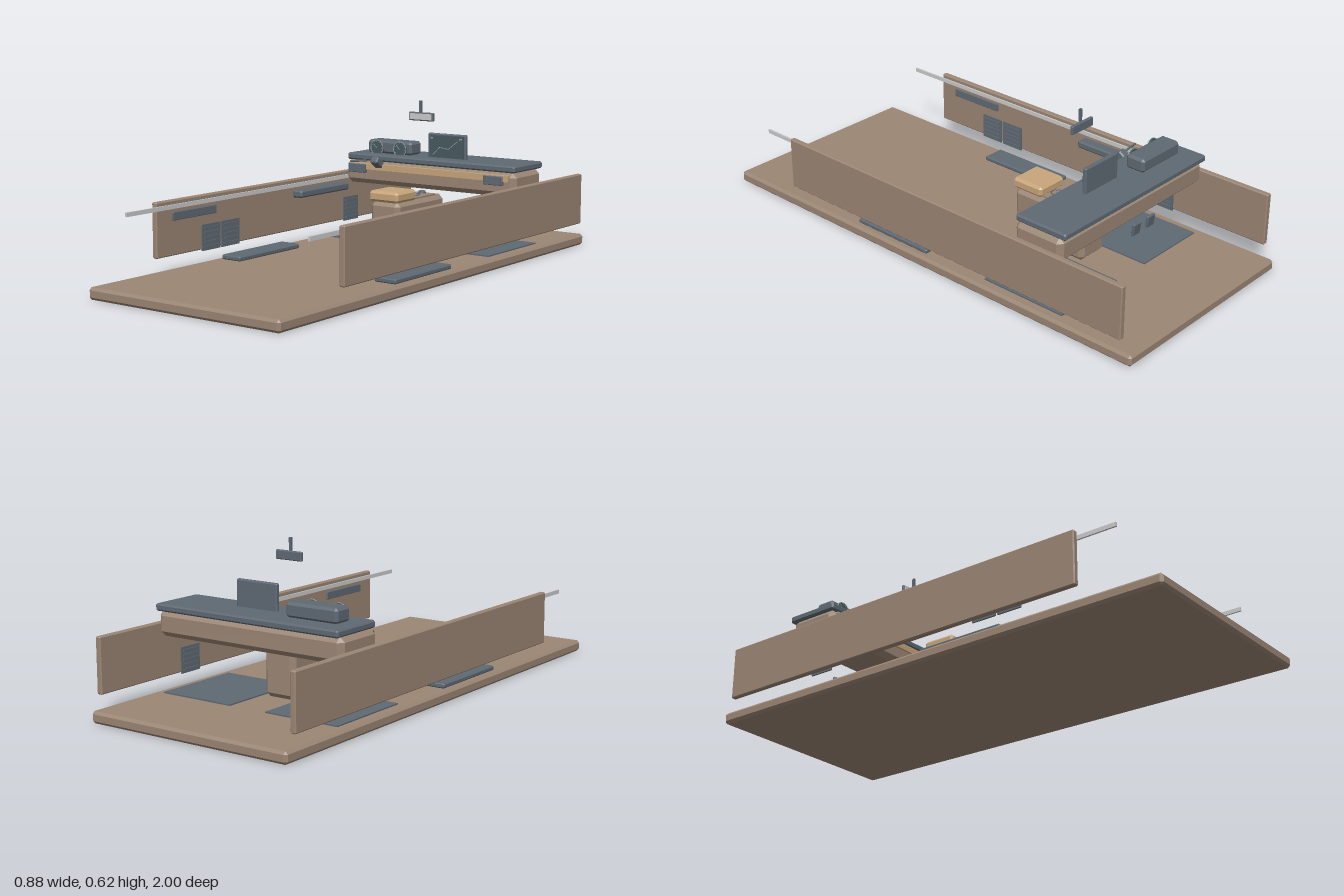
import * as THREE from 'three';
import { ConvexGeometry } from 'three/addons/geometries/ConvexGeometry.js';

const mat = (color) => new THREE.MeshStandardMaterial({ color, flatShading: true });
const brown = mat(0x9b8674), tan = mat(0xc8a57a), slate = mat(0x5f6973);
const dark = mat(0x465a60), pale = mat(0xcccccc), line = mat(0x8fa39a);

// Box from min/max corners; c > 0 cuts a chamfer along every edge
function boxGeometry(w, h, d, c) {
  if (!c) return new THREE.BoxGeometry(w, h, d);
  const points = [];
  for (const x of [-1, 1]) for (const y of [-1, 1]) for (const z of [-1, 1]) {
    for (let axis = 0; axis < 3; axis++) {
      points.push(new THREE.Vector3(
        x * (w / 2 - (axis === 0 ? 0 : c)),
        y * (h / 2 - (axis === 1 ? 0 : c)),
        z * (d / 2 - (axis === 2 ? 0 : c))));
    }
  }
  return new ConvexGeometry(points);
}

export function createModel() {
  const root = new THREE.Group();
  root.name = 'vehicleInterior';

  function add(parent, name, geometry, material, x, y, z) {
    const mesh = new THREE.Mesh(geometry, material);
    mesh.name = name;
    mesh.position.set(x, y, z);
    parent.add(mesh);
    return mesh;
  }
  const block = (parent, name, material, [x0, x1], [y0, y1], [z0, z1], c = 0) =>
    add(parent, name, boxGeometry(x1 - x0, y1 - y0, z1 - z0, c), material,
      (x0 + x1) / 2, (y0 + y1) / 2, (z0 + z1) / 2);
  const group = (name) => {
    const g = new THREE.Group();
    g.name = name;
    root.add(g);
    return g;
  };

  block(root, 'floor', brown, [-0.43, 0.43], [0, 0.045], [-1, 1], 0.01);

  // Door panels with their fittings, mirrored left and right
  for (const s of [-1, 1]) {
    const door = group(s > 0 ? 'leftDoor' : 'rightDoor');
    const side = (name, material, [a, b], y, z, c) =>
      block(door, name, material, s > 0 ? [a, b] : [-b, -a], y, z, c);
    side('doorPanel', brown, [0.415, 0.438], [0.095, 0.302], [-0.96, 0.67], 0.004);
    side('doorRail', pale, [0.409, 0.416], [0.27, 0.286], [-0.6, 0.825]);
    side('doorArmrest', slate, [0.367, 0.415], [0.23, 0.26], [-0.43, -0.11], 0.006);
    side('rearDoorGrip', slate, [0.408, 0.416], [0.226, 0.258], [0.35, 0.59], 0.002);
    for (const [y, z, size] of [[0.14, 0.38, 0.1], [0.14, 0.27, 0.1], [0.14, -0.5, 0.1]]) {
      side('doorGrille', slate, [0.41, 0.416], [y - 0.05, y + 0.05], [z - size / 2, z + size / 2]);
      for (let i = -2; i <= 2; i++) {
        side('grilleSlat', slate, [0.406, 0.411], [y + i * 0.018 - 0.004, y + i * 0.018 + 0.004],
          [z - size * 0.42, z + size * 0.42]);
      }
    }
    side('sillPad', slate, [0.313, 0.405], [0.045, 0.063], [-0.03, 0.33], 0.004);
    side('footMat', slate, [0.08, 0.39], [0.045, 0.05], [-0.67, -0.31]);
  }

  // Dashboard body, top pad, trim and air vents
  const dash = group('dashboard');
  block(dash, 'dashBody', brown, [-0.41, 0.41], [0.256, 0.353], [-0.675, -0.462], 0.02);
  block(dash, 'dashTop', slate, [-0.405, 0.405], [0.352, 0.379], [-0.69, -0.468], 0.006);
  block(dash, 'dashTrim', tan, [-0.385, 0.385], [0.317, 0.342], [-0.475, -0.455]);
  for (const x of [-0.343, 0.318]) {
    block(dash, 'airVent', slate, [x - 0.043, x + 0.043], [0.302, 0.338], [-0.465, -0.449], 0.002);
    for (let i = -1; i <= 1; i++) {
      const y = 0.32 + i * 0.01;
      block(dash, 'ventSlat', slate, [x - 0.039, x + 0.039], [y - 0.002, y + 0.002], [-0.45, -0.444]);
    }
  }

  // Instrument cluster with two dials
  const cluster = group('instrumentCluster');
  block(cluster, 'clusterHousing', slate, [-0.345, -0.125], [0.377, 0.433], [-0.612, -0.53], 0.01);
  for (const x of [-0.292, -0.176]) {
    const face = add(cluster, 'dialFace', new THREE.CylinderGeometry(0.031, 0.031, 0.008, 28), dark, x, 0.402, -0.527);
    face.rotation.x = Math.PI / 2;
    add(cluster, 'dialRim', new THREE.TorusGeometry(0.031, 0.0018, 6, 32), line, x, 0.402, -0.523);
    for (let i = 0; i < 9; i++) {
      const a = -0.6 + i * (Math.PI + 1.2) / 8;
      const tick = add(cluster, 'dialTick', new THREE.BoxGeometry(0.005, 0.0012, 0.002), line,
        x + Math.cos(a) * 0.026, 0.402 + Math.sin(a) * 0.026, -0.522);
      tick.rotation.z = a;
    }
    const needle = add(cluster, 'dialNeedle', new THREE.BoxGeometry(0.024, 0.0018, 0.002), line, x - 0.008, 0.41, -0.521);
    needle.rotation.z = 2.36;
  }

  // Centre screen with a plotted route
  const screen = group('centreScreen');
  block(screen, 'screenHousing', slate, [-0.046, 0.136], [0.375, 0.478], [-0.558, -0.54], 0.004);
  block(screen, 'screenFace', dark, [-0.038, 0.128], [0.381, 0.471], [-0.545, -0.537]);
  const route = [[-0.022, 0.388], [0.012, 0.422], [0.055, 0.417], [0.098, 0.45]];
  for (let i = 0; i < 3; i++) {
    const [x0, y0] = route[i], [x1, y1] = route[i + 1];
    const part = add(screen, 'routeLine', new THREE.BoxGeometry(Math.hypot(x1 - x0, y1 - y0), 0.0025, 0.002), line,
      (x0 + x1) / 2, (y0 + y1) / 2, -0.5365);
    part.rotation.z = Math.atan2(y1 - y0, x1 - x0);
  }
  for (const x of [-0.026, 0.114]) {
    block(screen, 'screenMarker', line, [x - 0.006, x + 0.006], [0.457, 0.463], [-0.538, -0.535]);
  }

  // Steering column stub and lever
  const column = block(root, 'steeringColumn', slate, [-0.251, -0.216], [0.337, 0.367], [-0.468, -0.416], 0.005);
  column.rotation.x = -0.6;
  const lever = block(root, 'columnLever', slate, [-0.347, -0.269], [0.352, 0.36], [-0.42, -0.412], 0.002);
  lever.rotation.set(0, 0.2, 0.07);

  // Pedals with ribs
  for (const x of [-0.279, -0.193]) {
    const pedal = group('pedal');
    pedal.position.set(x, 0.1, -0.543);
    pedal.rotation.x = -0.15;
    block(pedal, 'pedalPad', slate, [-0.021, 0.021], [-0.025, 0.025], [-0.006, 0.006], 0.002);
    for (let i = -1; i <= 1; i++) {
      block(pedal, 'pedalRib', slate, [-0.018, 0.018], [i * 0.013 - 0.002, i * 0.013 + 0.002], [0.005, 0.009]);
    }
  }

  // Centre console with tray, cup rings and armrest
  const console_ = group('centreConsole');
  block(console_, 'consoleBody', brown, [-0.068, 0.068], [0.045, 0.242], [-0.495, -0.163], 0.018);
  block(console_, 'consoleTray', brown, [-0.052, 0.052], [0.238, 0.246], [-0.45, -0.29]);
  block(console_, 'consoleArmrest', tan, [-0.068, 0.068], [0.24, 0.283], [-0.295, -0.157], 0.01);
  for (const z of [-0.375, -0.315]) {
    const ring = add(console_, 'cupRing', new THREE.TorusGeometry(0.021, 0.003, 6, 28), slate, 0, 0.247, z);
    ring.rotation.x = Math.PI / 2;
  }
  add(console_, 'selectorKnob', new THREE.CylinderGeometry(0.014, 0.016, 0.012, 20), slate, 0, 0.25, -0.43);

  // Rear-view mirror
  const mirror = group('rearViewMirror');
  block(mirror, 'mirrorHousing', slate, [-0.058, 0.058], [0.539, 0.573], [-0.431, -0.417], 0.003);
  block(mirror, 'mirrorGlass', pale, [-0.052, 0.052], [0.544, 0.568], [-0.42, -0.415]);
  block(mirror, 'mirrorStem', slate, [-0.005, 0.005], [0.57, 0.62], [-0.421, -0.412]);

  return root;
}
